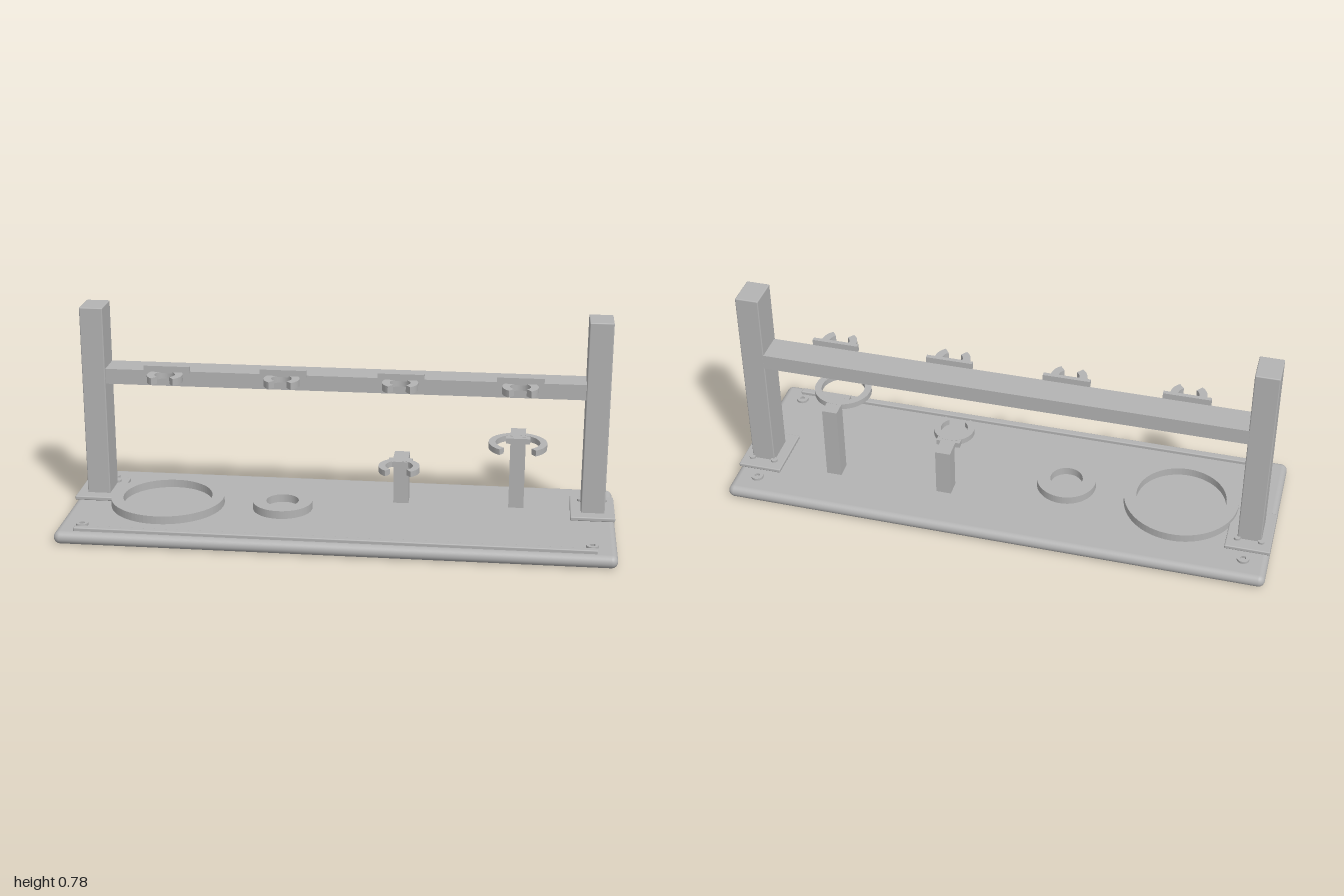
import * as THREE from 'three';
import { RoundedBoxGeometry } from 'three/addons/geometries/RoundedBoxGeometry.js';

const grey = new THREE.MeshStandardMaterial({ color: 0xb3b3b3 });
grey.name = 'grey plastic';

const TOP = 0.047; // upper face of the base

export function createModel() {
  const model = new THREE.Group();
  model.name = 'toolRack';

  const add = (name, geometry) => {
    const mesh = new THREE.Mesh(geometry, grey);
    mesh.name = name;
    model.add(mesh);
    return mesh;
  };

  // Box given by its limits, optionally with rounded edges
  const box = (name, [x0, x1], [y0, y1], [z0, z1], radius = 0) => {
    const size = [x1 - x0, y1 - y0, z1 - z0];
    const geometry = radius
      ? new RoundedBoxGeometry(...size, 4, radius)
      : new THREE.BoxGeometry(...size);
    add(name, geometry).position.set((x0 + x1) / 2, (y0 + y1) / 2, (z0 + z1) / 2);
  };

  // Flat shape extruded upwards; shape y runs towards the back
  const slab = (name, shape, x, y, z, height) => {
    const geometry = new THREE.ExtrudeGeometry(shape, { depth: height, bevelEnabled: false, curveSegments: 40 });
    add(name, geometry.rotateX(-Math.PI / 2)).position.set(x, y, z);
  };

  const disc = (r) => new THREE.Shape().absarc(0, 0, r, 0, Math.PI * 2, false);

  const ring = (outer, inner) => {
    const shape = disc(outer);
    shape.holes.push(new THREE.Path().absarc(0, 0, inner, 0, Math.PI * 2, true));
    return shape;
  };

  // Open ring with its gap facing the front
  const clip = (outer, inner, gap = 0.66) => {
    const start = -Math.PI / 2 + gap;
    const end = Math.PI * 1.5 - gap;
    const shape = new THREE.Shape();
    shape.absarc(0, 0, outer, start, end, false);
    shape.absarc(0, 0, inner, end, start, true);
    shape.closePath();
    return shape;
  };

  // Screw head with a hexagonal socket
  const screwHead = (r) => {
    const shape = disc(r);
    const socket = [];
    for (let i = 0; i < 6; i++) {
      const a = -i * Math.PI / 3;
      socket.push(new THREE.Vector2(Math.cos(a) * r * 0.5, Math.sin(a) * r * 0.5));
    }
    shape.holes.push(new THREE.Path(socket));
    return shape;
  };

  // Base with rounded rim and front lip
  box('base', [-1, 1], [0, TOP], [-0.333, 0.333], 0.0234);
  box('frontLip', [-0.93, 0.93], [TOP - 0.005, 0.06], [0.281, 0.307], 0.004);

  // Holding rings on the base
  slab('largeBaseRing', ring(0.21, 0.165), -0.648, TOP - 0.002, 0, 0.032);
  slab('smallBaseRing', ring(0.11, 0.06), -0.217, TOP - 0.002, 0, 0.032);

  // Posts with foot plates and screws, one set per side
  for (const side of [-1, 1]) {
    const span = (a, b) => (side < 0 ? [-b, -a] : [a, b]);
    box('footPlate', span(0.838, 1), [TOP + 0.001, 0.063], [-0.205, 0.01], 0.004);
    box('post', span(0.877, 0.963), [0.055, 0.78], [-0.155, -0.036], 0.004);
    for (const x of [0.877, 0.963]) {
      slab('footScrew', disc(0.012), side * x, 0.06, -0.158, 0.011);
    }
    for (const z of [-0.246, 0.246]) {
      slab('baseScrew', screwHead(0.022), side * 0.912, TOP - 0.001, z, 0.01);
    }
  }

  // Cross bar and its four clips
  box('crossBar', [-0.88, 0.88], [0.491, 0.548], [-0.155, -0.045]);
  for (const x of [-0.645, -0.216, 0.213, 0.642]) {
    box('clipPlate', [x - 0.085, x + 0.085], [0.544, 0.57], [-0.046, -0.03]);
    slab('barClip', clip(0.065, 0.037), x, 0.522, 0, 0.026);
  }

  // Standing cradles: pole, arm and open ring
  for (const [x, y, outer, inner] of [[0.213, 0.21, 0.075, 0.05], [0.64, 0.317, 0.105, 0.08]]) {
    box('cradlePole', [x - 0.028, x + 0.028], [TOP - 0.003, y + 0.001], [-0.157, -0.098]);
    box('cradleNeck', [x - 0.028, x + 0.028], [y, y + 0.021], [-0.157, -0.06]);
    box('cradleArm', [x - 0.044, x + 0.044], [y + 0.0005, y + 0.0205], [-0.085, -0.04]);
    slab('cradleRing', clip(outer, inner), x, y, 0, 0.0215);
  }

  return model;
}
